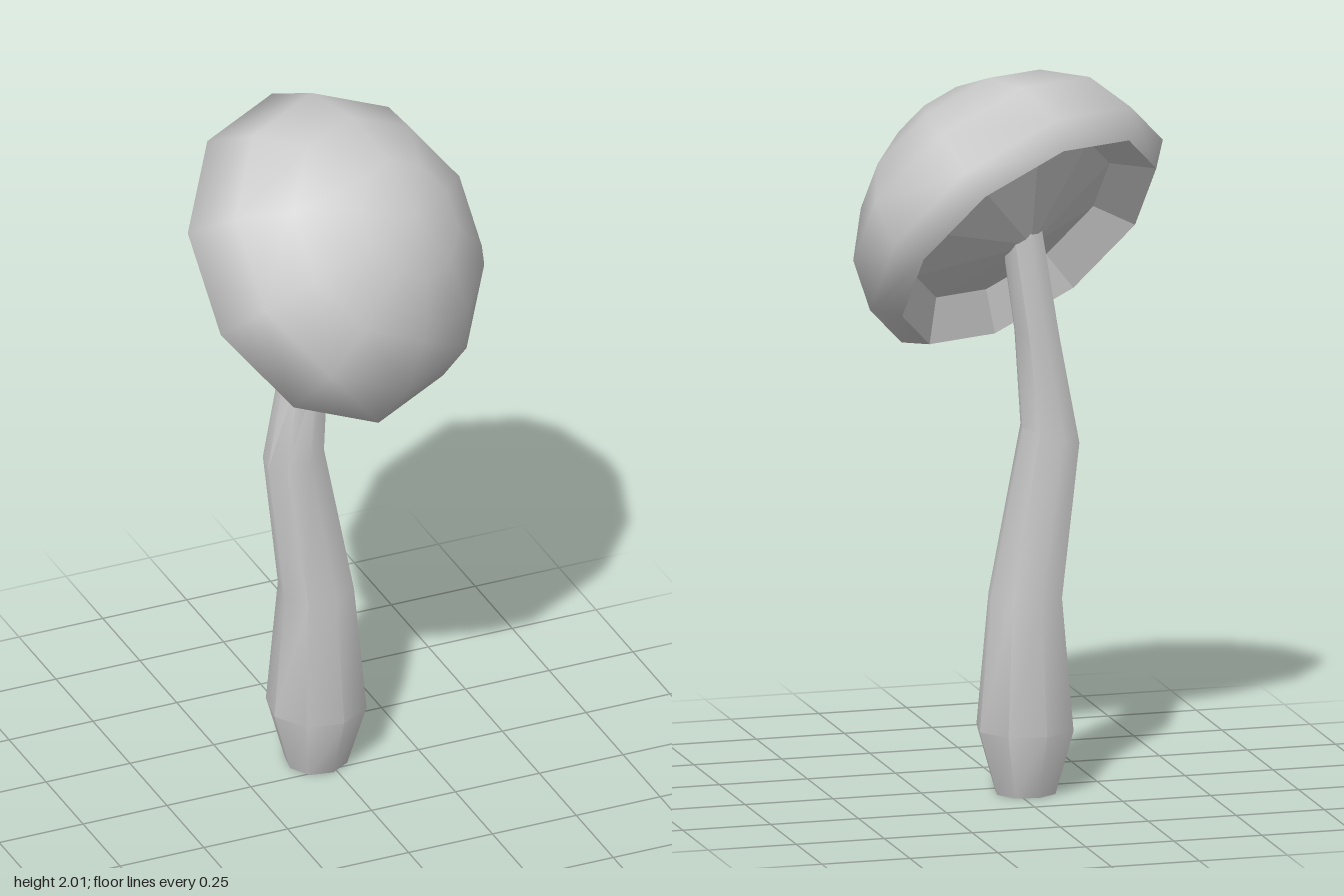
import * as THREE from 'three';
import { toCreasedNormals } from 'three/addons/utils/BufferGeometryUtils.js';

const V2 = (p) => new THREE.Vector2(p[0], p[1]);

// Bent eight-sided stalk; each ring is [x, y, z, radius, sideways tilt]
function stemGeometry() {
  const rings = [
    [-0.027, 0, -0.065, 0.087, 0],
    [-0.027, 0.18, -0.063, 0.14, 0],
    [-0.027, 0.55, -0.065, 0.106, 0],
    [-0.103, 0.995, -0.045, 0.085, 0.3],
    [-0.062, 1.28, -0.06, 0.065, 0.1],
    [-0.01, 1.62, -0.06, 0.06, 0],
  ];
  const last = rings.length - 1;
  const geo = new THREE.CylinderGeometry(1, 1, 1, 8, last);
  geo.rotateY(0.175);
  const pos = geo.attributes.position;
  for (let i = 0; i < pos.count; i++) {
    const [cx, cy, cz, radius, tilt] = rings[Math.round((pos.getY(i) + 0.5) * last)];
    // Every other corner sits slightly inward, so the remaining four read as sharp edges
    const r = radius * (Math.abs(pos.getX(i) * pos.getZ(i)) > 0.3 ? 1 : 0.98);
    const dx = pos.getX(i) * r;
    pos.setXYZ(i, cx + dx, cy + dx * tilt, cz + pos.getZ(i) * r);
  }
  return toCreasedNormals(geo, Math.PI / 4);
}

export function createModel() {
  const group = new THREE.Group();
  const material = new THREE.MeshStandardMaterial({ color: 0xcccccc });
  const add = (parent, name, geo) => {
    const mesh = new THREE.Mesh(geo, material);
    mesh.name = name;
    parent.add(mesh);
  };

  add(group, 'stem', stemGeometry());

  // Cap: smooth ten-sided dome with a curled lip, and a faceted hollow underneath
  const cap = new THREE.Group();
  cap.name = 'cap';
  const dome = [[0.412, -0.07], [0.475, -0.005], [0.43, 0.15], [0.325, 0.275], [0.17, 0.37], [0, 0.4]];
  const underside = [[0, -0.08], [0.315, 0.015], [0.412, -0.07]];
  add(cap, 'capDome', toCreasedNormals(new THREE.LatheGeometry(dome.map(V2), 10), 1.2));
  add(cap, 'capUnderside', toCreasedNormals(new THREE.LatheGeometry(underside.map(V2), 10), 0.1));

  // Tilt the cap forward and to its left, with one rim corner at the lowest point
  const axis = new THREE.Vector3(0.36, 0.62, 0.7).normalize();
  const side = new THREE.Vector3().crossVectors(axis, new THREE.Vector3(0.025, -0.355, 0.31)).normalize();
  const corner = new THREE.Vector3().crossVectors(side, axis);
  cap.quaternion.setFromRotationMatrix(new THREE.Matrix4().makeBasis(side, axis, corner));
  cap.position.set(-0.005, 1.588, -0.045);
  group.add(cap);
  return group;
}
